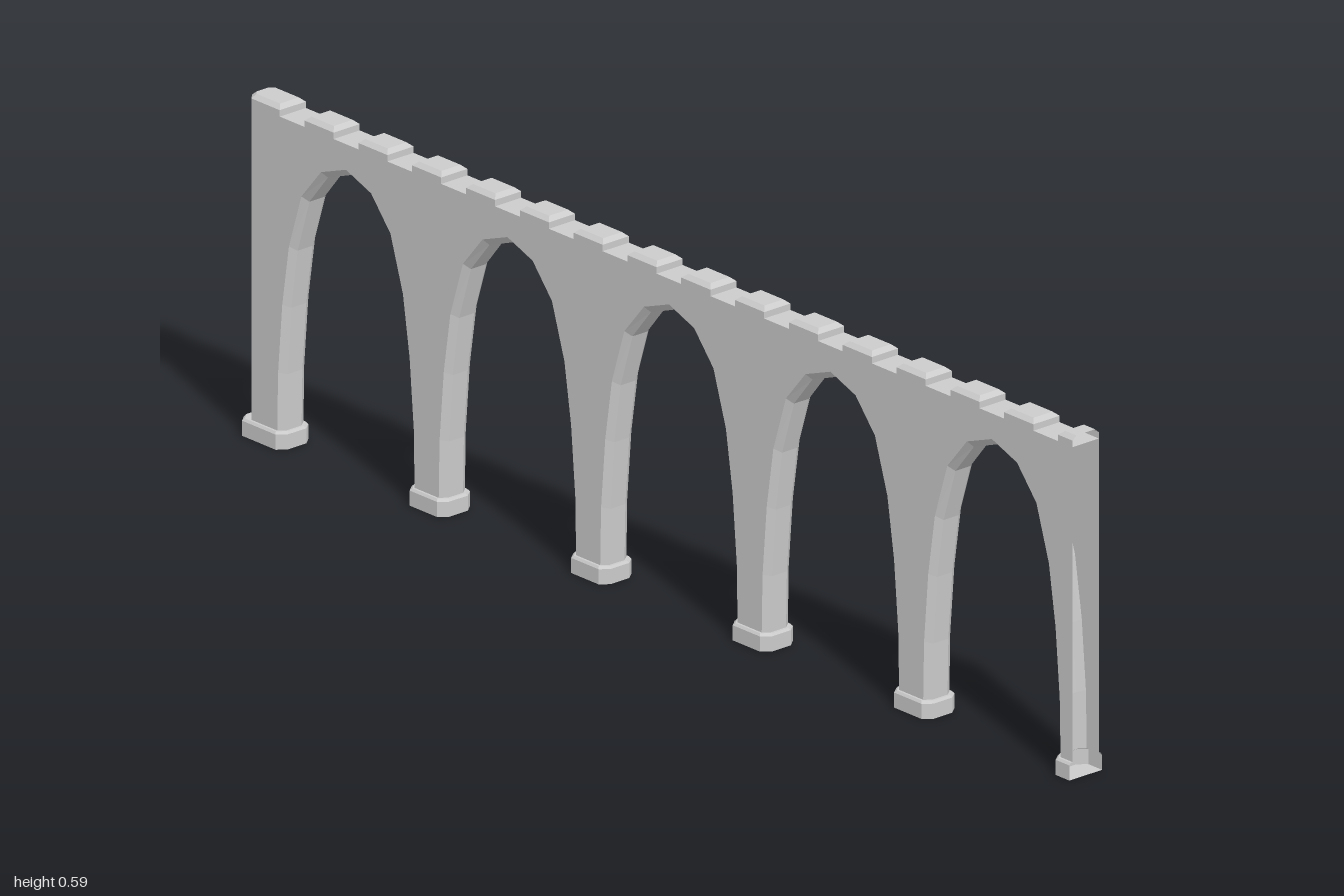
import * as THREE from 'three';

const HX = 0.028, TIP = 0.016;           // half width of the wall, and of its chamfered edges
const BAY = 0.388, BAYS = 5, FRONT = 1, BACK = -0.985;
const BASE = 0.03, TOP = 0.572;
// half arch on the wall face: [distance from arch centre, height]
const ARCH = [[0.165, BASE], [0.163, 0.13], [0.153, 0.25], [0.137, 0.355], [0.107, 0.45], [0.06, 0.506], [0, 0.528]];
const SOFFIT = ARCH.map(([u, y], i) => [u * 0.945, i ? y * 0.977 : y]);

const material = new THREE.MeshStandardMaterial({ color: 0xcccccc, flatShading: true, side: THREE.DoubleSide });

function mesh(name, geometry) {
  const m = new THREE.Mesh(geometry, material);
  m.name = name;
  return m;
}

// Flat-shaded skin over rows of [x, y, z] points
function skin(rows, closed = false) {
  const pos = [];
  for (let i = 0; i + 1 < rows.length; i++) {
    const n = rows[i].length;
    for (let j = 0; j < (closed ? n : n - 1); j++) {
      const k = (j + 1) % n;
      const a = rows[i][j], b = rows[i][k], c = rows[i + 1][k], d = rows[i + 1][j];
      pos.push(...a, ...b, ...c, ...a, ...c, ...d);
    }
  }
  const g = new THREE.BufferGeometry();
  g.setAttribute('position', new THREE.Float32BufferAttribute(pos, 3));
  g.computeVertexNormals();
  return g;
}

// Rectangle with cut corners, running from front right round the back to front left
function ring(y, hx, zf, zb, cutF = [0, 0], cutB = [0, 0]) {
  const right = [[hx - cutF[0], y, zf], [hx, y, zf - cutF[1]], [hx, y, zb + cutB[1]], [hx - cutB[0], y, zb]];
  return [...right, ...right.map(([x, , z]) => [-x, y, z]).reverse()];
}
const centre = (y, z) => Array.from({ length: 8 }, () => [0, y, z]);

// Arch outline from front to back
function archPath(half, zc) {
  const front = half.map(([u, y]) => [zc + u, y]);
  const back = half.slice(0, -1).reverse().map(([u, y]) => [zc - u, y]);
  return [...front, ...back];
}

// Chamfered band: face edge, narrow edge, narrow edge, face edge
const band = ([zf, yf], [zn, yn]) => [[HX, yf, zf], [TIP, yn, zn], [-TIP, yn, zn], [-HX, yf, zf]];

export function createModel() {
  const model = new THREE.Group();
  model.name = 'arcade';
  const wall = new THREE.Group();
  wall.name = 'wall';
  model.add(wall);
  const arches = Array.from({ length: BAYS }, (_, i) => FRONT - BAY * (i + 0.5));
  const endFace = BACK + 0.012;

  // Two wall faces with arched openings
  const outline = [[FRONT, TOP], [FRONT, BASE]];
  arches.forEach(z => outline.push(...archPath(ARCH, z)));
  outline.push([endFace, BASE], [endFace, TOP]);
  for (const side of [1, -1]) {
    const shape = new THREE.Shape(outline.map(([z, y]) => new THREE.Vector2(-side * z, y)));
    const g = new THREE.ShapeGeometry(shape);
    g.rotateY(side * Math.PI / 2).translate(side * HX, 0, 0);
    wall.add(mesh(side > 0 ? 'leftFace' : 'rightFace', g));
  }

  // Chamfered arch soffits
  arches.forEach(z => {
    const inner = archPath(SOFFIT, z);
    wall.add(mesh('archSoffit', skin(archPath(ARCH, z).map((p, i) => band(p, inner[i])))));
  });

  // Chamfered back end and flat wall top
  wall.add(mesh('backEnd', skin([BASE, TOP].map(y => band([endFace, y], [BACK, y])))));
  wall.add(mesh('wallTop', skin([[TIP, BACK], [HX, endFace], [HX, FRONT]].map(([x, z]) => [[x, TOP, z], [-x, TOP, z]]))));

  // Pier plinths; the front one is cut in half and open
  const pierHalf = BAY / 2 - SOFFIT[0][0];
  for (let i = 0; i <= BAYS; i++) {
    const zc = FRONT - BAY * i, open = i === 0, last = i === BAYS;
    const zf = open ? FRONT : zc + 0.045, zb = last ? -1 : zc - 0.045;
    const cut = [0.015, 0.012], cutF = open ? [0, 0] : cut;
    const bevel = 0.003;
    const pierF = open ? FRONT : zc + pierHalf, pierB = last ? BACK : zc - pierHalf;
    const pierCut = [HX - TIP, pierHalf - (BAY / 2 - ARCH[0][0])];
    const mid = open ? FRONT : (zf + zb) / 2;
    model.add(mesh('plinth', skin([
      centre(0, mid),
      ring(0, 0.035, zf, zb, cutF, cut),
      ring(0.026, 0.035, zf, zb, cutF, cut),
      ring(BASE, 0.035 - bevel, open ? zf : zf - bevel, zb + bevel, cutF, cut),
      ring(BASE, HX, pierF, pierB, open ? [0, 0] : pierCut, last ? [HX - TIP, 0.012] : pierCut),
    ], !open)));
  }

  // Bevelled merlons, three to a bay
  for (let i = 0; i <= BAYS * 3; i++) {
    const zc = FRONT - BAY / 3 * i, open = i === 0, last = i === BAYS * 3;
    const zf = open ? FRONT : zc + 0.035, zb = last ? BACK : zc - 0.035;
    const cutB = last ? [HX - TIP, 0.012] : [0, 0], b = 0.008;
    const mid = open ? FRONT : (zf + zb) / 2;
    model.add(mesh('merlon', skin([
      ring(TOP, HX, zf, zb, [0, 0], cutB),
      ring(0.583, HX, zf, zb, [0, 0], cutB),
      ring(0.59, HX - b, open ? zf : zf - b, zb + b, [0, 0], cutB.map(v => v * 0.6)),
      centre(0.59, mid),
    ], !open)));
  }
  return model;
}
